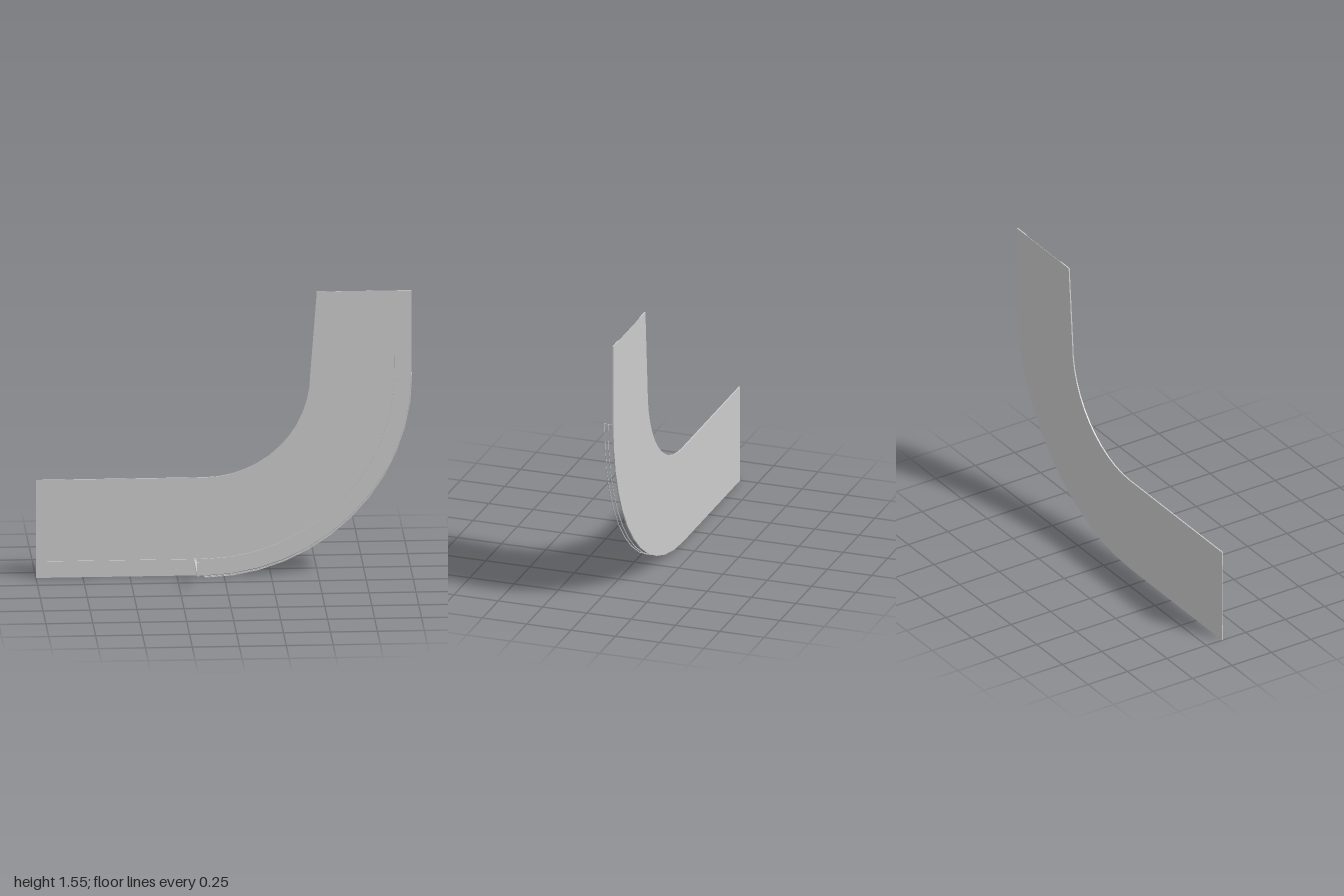
import * as THREE from 'three';

const CX = -0.1, CY = 1.1;      // centre of the bend
const BACK = -0.15;             // underside of the road slab
const SEGMENTS = 12;

const material = new THREE.MeshStandardMaterial({ color: 0xcccccc, flatShading: true });

function add(parent, name, geometry, x = 0, y = 0, z = 0) {
  const mesh = new THREE.Mesh(geometry, material);
  mesh.name = name;
  mesh.position.set(x, y, z);
  parent.add(mesh);
  return mesh;
}

// Points of the quarter bend at a given radius
function arc(r) {
  const pts = [];
  for (let i = 0; i <= SEGMENTS; i++) {
    const a = -Math.PI / 2 + (i / SEGMENTS) * Math.PI / 2;
    pts.push(new THREE.Vector2(CX + r * Math.cos(a), CY + r * Math.sin(a)));
  }
  return pts;
}

// A full lane edge: straight run, bend, then the upper run that leans to topX
function edge(r, topX) {
  return [new THREE.Vector2(-1, CY - r), ...arc(r), new THREE.Vector2(topX, 1.555)];
}

// Slab between two edges
function slab(inner, outer, depth) {
  const shape = new THREE.Shape([...outer, ...[...inner].reverse()]);
  return new THREE.ExtrudeGeometry(shape, { depth, bevelEnabled: false });
}

// Thin rail that follows the outer edge of the bend
function rail(width, depth) {
  return slab(arc(1.1 - width), arc(1.1), depth);
}

export function createModel() {
  const group = new THREE.Group();
  group.name = 'curvedRoad';

  // Road and raised sidewalks
  const innerEdge = edge(0.56, 0.495), innerKerb = edge(0.645, 0.58);
  const outerKerb = edge(1.01, 0.912), outerEdge = edge(1.1, 1);
  add(group, 'roadSurface', slab(innerKerb, outerKerb, 0.002), 0, 0, BACK);
  add(group, 'innerSidewalk', slab(innerEdge, innerKerb, 0.007), 0, 0, BACK);
  add(group, 'outerSidewalk', slab(outerKerb, outerEdge, 0.007), 0, 0, BACK);

  // Guard rail: two rails and a post at each end
  const guard = new THREE.Group();
  guard.name = 'guardRail';
  group.add(guard);
  const t = 0.004;
  add(guard, 'topRail', rail(t, t), 0, 0, -0.1);
  add(guard, 'middleRail', rail(t, t), 0, 0, -0.12);
  const post = new THREE.BoxGeometry(t, t, 0.05);
  add(guard, 'startPost', post, CX - t / 2, t / 2, -0.121);
  add(guard, 'endPost', post, 1 - t / 2, CY + t / 2, -0.121);

  // Street lamp standing on the outer sidewalk, its arm reaching over the road
  const lamp = new THREE.Group();
  lamp.name = 'streetLamp';
  lamp.position.set(-0.153, 0.084, 0);
  group.add(lamp);
  add(lamp, 'lampBase', new THREE.BoxGeometry(0.017, 0.018, 0.008), 0, 0, -0.139);
  add(lamp, 'lampPole', new THREE.BoxGeometry(0.013, 0.012, 0.293), 0, 0, 0.0035);
  add(lamp, 'lampArm', new THREE.BoxGeometry(0.013, 0.07, 0.01), 0, 0.036, 0.145);
  add(lamp, 'lampHead', new THREE.BoxGeometry(0.011, 0.018, 0.005), 0, 0.058, 0.1385);

  return group;
}
